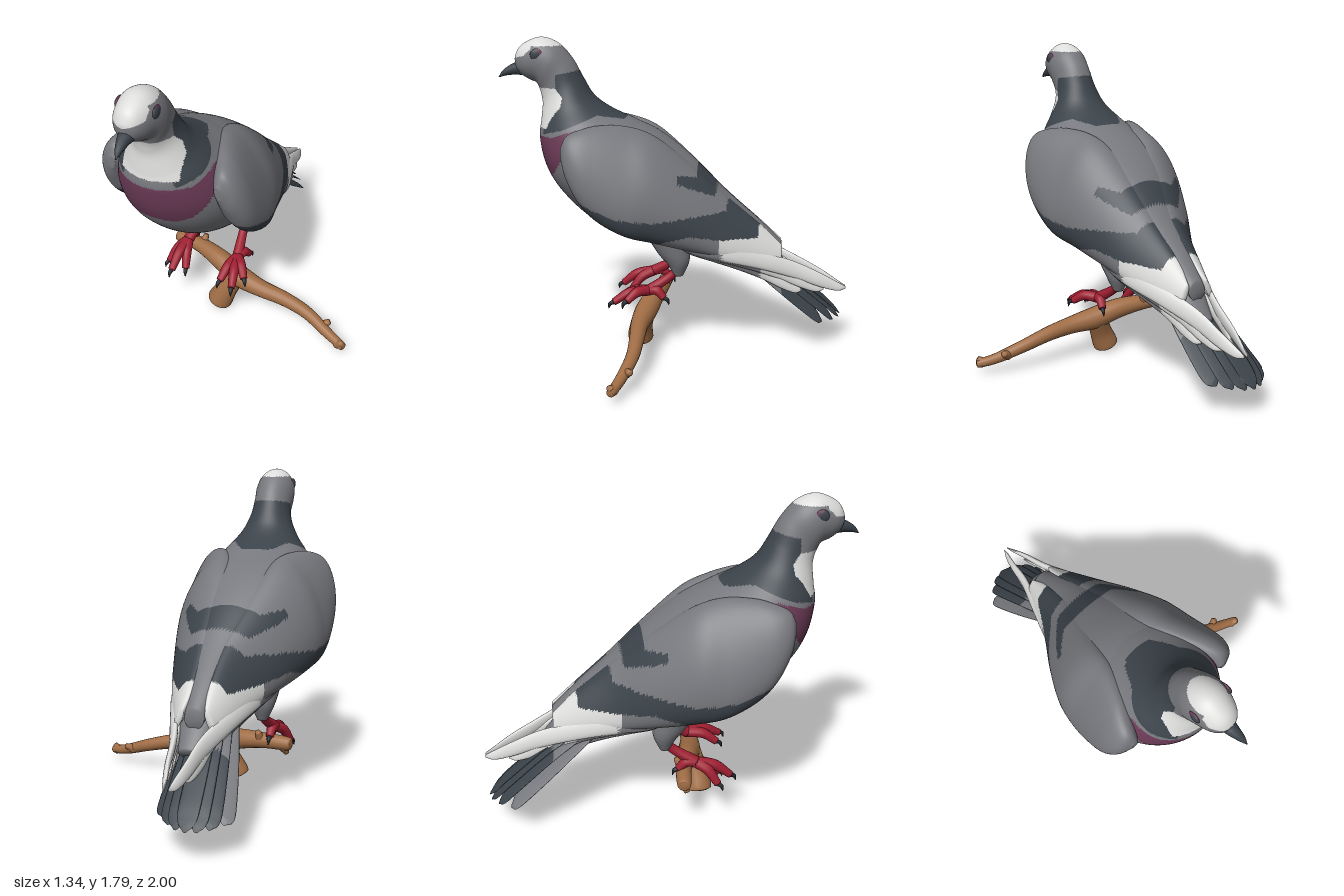
import * as THREE from 'three';

const V = (x, y, z) => new THREE.Vector3(x, y, z);
const mat = (name, color) => {
  const m = new THREE.MeshStandardMaterial({ color });
  m.name = name;
  return m;
};
const grey = mat('grey plumage', 0x77787d);
const slate = mat('slate plumage', 0x3b434a);
const white = mat('white plumage', 0xdcdcdb);
const plum = mat('plum breast', 0x6a3a56);
const red = mat('red skin', 0xa01f32);
const bark = mat('bark', 0xa06d45);
const black = mat('black', 0x22262b);
const MATS = [grey, slate, white, plum];
const GREY = 0, SLATE = 1, WHITE = 2, PLUM = 3;
const CX = -0.235; // the bird's middle plane
// the rear of the bird leans to its left
const middle = z => CX + .05 * THREE.MathUtils.smoothstep(-z, -.1, .35);

// Smooth closed skin over elliptical sections [centre, semi-axis, semi-axis]
function loft(sections, n = 40, m = 24) {
  const curves = [0, 1, 2].map(k =>
    new THREE.CatmullRomCurve3(sections.map(s => s[k]), false, 'catmullrom', 0.5));
  const pos = [], idx = [];
  for (let i = 0; i <= n; i++) {
    const [c, u, v] = curves.map(q => q.getPoint(i / n));
    for (let j = 0; j < m; j++) {
      const a = j / m * Math.PI * 2;
      const p = c.clone().addScaledVector(u, Math.cos(a)).addScaledVector(v, Math.sin(a));
      pos.push(p.x, p.y, p.z);
    }
  }
  for (let i = 0; i < n; i++) for (let j = 0; j < m; j++) {
    const a = i * m + j, b = i * m + (j + 1) % m;
    idx.push(a, b, a + m, b, b + m, a + m);
  }
  const first = (n + 1) * m, end = n * m;
  pos.push(...sections[0][0].toArray(), ...sections.at(-1)[0].toArray());
  for (let j = 0; j < m; j++) {
    const k = (j + 1) % m;
    idx.push(first, k, j, first + 1, end + j, end + k);
  }
  // turn the faces outward whichever way the sections run
  let volume = 0;
  const at = i => V(pos[3 * i], pos[3 * i + 1], pos[3 * i + 2]);
  for (let t = 0; t < idx.length; t += 3) volume += at(idx[t]).dot(at(idx[t + 1]).cross(at(idx[t + 2])));
  if (volume < 0) idx.reverse();
  const g = new THREE.BufferGeometry();
  g.setAttribute('position', new THREE.Float32BufferAttribute(pos, 3));
  g.setIndex(idx);
  g.computeVertexNormals();
  return g;
}

// Round tapering limb through points with a radius at each
function limb(points, radii, n = 24, m = 12) {
  const p = points.map(q => V(...q));
  const dir = p.at(-1).clone().sub(p[0]).normalize();
  const ref = Math.abs(dir.y) > 0.7 ? V(1, 0, 0) : V(0, 1, 0);
  return loft(p.map((c, i) => {
    const t = p[Math.min(i + 1, p.length - 1)].clone().sub(p[Math.max(i - 1, 0)]).normalize();
    const u = ref.clone().cross(t).normalize();
    return [c, u.clone().multiplyScalar(radii[i]), t.cross(u).multiplyScalar(radii[i])];
  }), n, m);
}

// Sort triangles into colour groups by the position of their middle
function paint(g, pick) {
  const P = g.attributes.position, I = g.index.array, lists = MATS.map(() => []);
  for (let t = 0; t < I.length; t += 3) {
    const c = V(0, 0, 0);
    for (let k = 0; k < 3; k++) c.add(V(P.getX(I[t + k]), P.getY(I[t + k]), P.getZ(I[t + k])));
    c.divideScalar(3);
    lists[pick(c)].push(I[t], I[t + 1], I[t + 2]);
  }
  g.setIndex(lists.flat());
  let start = 0;
  lists.forEach((l, k) => { if (l.length) g.addGroup(start, l.length, k); start += l.length; });
  return g;
}

// Is the point inside a side-on outline of [z, y] corners?
function inside(poly, c) {
  let hit = false;
  poly.forEach(([z1, y1], i) => {
    const [z2, y2] = poly[(i + 1) % poly.length];
    if ((y1 > c.y) !== (y2 > c.y) && c.z < (z2 - z1) * (c.y - y1) / (y2 - y1) + z1) hit = !hit;
  });
  return hit;
}

const COLLAR = [[.72, 1.575], [.45, 1.62], [.2, 1.45], [.28, 1.34], [.42, 1.37], [.6, 1.3], [.73, 1.26], [.73, 1.5], [.66, 1.52]];
const BREAST = [[.85, 1.24], [.68, 1.25], [.5, 1.31], [.6, 1.15], [.67, 1.04], [.7, 1.015], [.85, 1.015]];
const THROAT = [[.85, 1.51], [.66, 1.51], [.62, 1.46], [.635, 1.36], [.7, 1.29], [.85, 1.29]];
const BACK_BAR = [[-.03, 1.06], [-.03, 1.02], [-.12, .98], [-.24, .93], [-.25, 1.02], [-.15, 1.15], [-.13, 1.04]];
const WING_BAR = [[.52, .94], [.3, .85], [.1, .82], [-.1, .84], [-.3, .85], [-.32, .95], [-.5, .82],
  [-.48, .69], [-.28, .70], [-.1, .735], [.05, .70], [.1, .6], [.52, .7]];

function bodyColour(c) {
  const dx = Math.abs(c.x - CX);
  if ((c.z > .8 && c.y > 1.66 + dx * .3 && dx < .085) || (c.z > .58 && c.y > 1.74)) return WHITE;
  if (inside(THROAT, c) && dx < .16) return WHITE;
  if (inside(BREAST, c)) return PLUM;
  if (inside(COLLAR, c) && (c.z < .66 || dx > .13)) return SLATE;
  return inside(BACK_BAR, c) ? SLATE : GREY;
}

function wingColour(c) {
  if (inside(WING_BAR, c) || inside(BACK_BAR, c)) return SLATE;
  return c.z < -.48 || (c.z < -.26 && c.y < .71 && c.y > .6) ? WHITE : GREY;
}

export function createModel() {
  const model = new THREE.Group();
  const add = (name, geometry, material) => {
    const mesh = new THREE.Mesh(geometry, material);
    mesh.name = name;
    model.add(mesh);
    return mesh;
  };

  // Head, neck and body: back z, y, front z, y, half width
  const body = [
    [.905, 1.65, .905, 1.63, .01], [.90, 1.69, .88, 1.585, .05], [.86, 1.745, .83, 1.55, .085],
    [.76, 1.785, .785, 1.53, .108], [.66, 1.755, .77, 1.50, .115], [.58, 1.67, .76, 1.46, .111],
    [.52, 1.56, .755, 1.41, .125], [.46, 1.46, .765, 1.32, .172], [.36, 1.385, .775, 1.22, .24],
    [.2, 1.31, .74, 1.06, .31], [.05, 1.22, .65, .91, .34], [-.1, 1.10, .48, .75, .33],
    [-.25, .95, .25, .64, .28], [-.38, .82, 0, .60, .22], [-.5, .70, -.25, .53, .15],
    [-.6, .57, -.5, .47, .1], [-.7, .45, -.66, .4, .06],
  ].map(([za, ya, zb, yb, w]) => {
    const z = (za + zb) / 2;
    return [V(middle(z), (ya + yb) / 2, z), V(0, (ya - yb) / 2, (za - zb) / 2), V(w, 0, 0)];
  });
  add('body', paint(loft(body, 200, 130), bodyColour), MATS);

  // Mantle filling the back between the wings: z, top y, half width, half height
  const mantle = [[.42, 1.36, .15, .09], [.3, 1.345, .22, .12], [.1, 1.262, .24, .13], [-.1, 1.115, .18, .11],
    [-.3, .925, .12, .09], [-.5, .75, .08, .07], [-.62, .635, .05, .05]]
    .map(([z, top, w, h]) => [V(middle(z), top - h, z), V(w, 0, 0), V(0, h, 0)]);
  add('mantle', paint(loft(mantle, 70, 44), bodyColour), MATS);

  // Beak and eyes
  add('beak', limb([[-.23, 1.612, .85], [-.228, 1.605, .91], [-.22, 1.585, .965], [-.215, 1.56, 1]],
    [.045, .033, .018, .002]), slate);
  for (const s of [1, -1]) {
    const rim = add('eyeRim', new THREE.SphereGeometry(.034, 24, 16), plum);
    rim.position.set(CX + s * .098, 1.695, .763);
    rim.scale.x = .3;
    const eye = add('eye', new THREE.SphereGeometry(.03, 24, 16), slate);
    eye.position.set(CX + s * .1, 1.695, .769);
    eye.scale.x = .38;
  }

  // Wing rows: z, inner top offset, y, outer bottom offset, y, half thickness
  const wing = [
    [.605, .30, 1.22, .31, 1.15, .02], [.57, .30, 1.28, .35, 1.05, .06], [.50, .27, 1.31, .37, .92, .10],
    [.40, .22, 1.325, .38, .82, .12], [.25, .16, 1.31, .38, .74, .13], [.1, .13, 1.25, .33, .69, .15],
    [-.1, .08, 1.09, .27, .635, .13], [-.3, .055, .91, .215, .59, .075], [-.5, .045, .74, .14, .545, .045],
    [-.62, .06, .63, .10, .53, .015],
  ];
  const quill = [
    [0, .23, .72, .24, .67, .008], [-.12, .235, .70, .25, .61, .02], [-.3, .20, .68, .225, .57, .023],
    [-.5, .135, .61, .16, .51, .022], [-.7, .07, .53, .09, .435, .019], [-.85, .045, .455, .06, .375, .015],
    [-.95, .02, .395, .035, .345, .01], [-1, .012, .365, .012, .35, .003],
  ];
  const blade = (rows, s) => rows.map(([z, xa, ya, xb, yb, t]) => {
    const u = V(s * (xa - xb) / 2, (ya - yb) / 2, 0);
    const v = V(u.y, -u.x, 0).setLength(t);
    return [V(middle(z) + s * (xa + xb) / 2, (ya + yb) / 2, z), u, v];
  });
  for (const s of [1, -1]) {
    const side = s > 0 ? 'left' : 'right';
    add(side + 'Wing', paint(loft(blade(wing, s), 140, 76), wingColour), MATS);
    // layered flight feathers, each one shorter, lower and tucked against the last
    for (let k = 0; k < 3; k++) {
      const rows = quill.map(([z, xa, ya, xb, yb, t]) => {
        const dx = -.04 * k * z - .012 * k;
        return [z * (1 - .13 * k), xa + dx, ya, xb + dx, yb, t];
      });
      const pick = c => (c.z < (k ? -.5 : -.28) ? WHITE : GREY);
      add(side + 'FlightFeather', paint(loft(blade(rows, s), 50, 20), pick), MATS);
    }
  }

  // Arched tail fan
  for (let i = 0; i < 7; i++) {
    const f = i / 3 - 1;
    const root = V(-.225 + .1 * f, .57 - .04 * f * f, -.42);
    const tip = V(-.268 + .15 * f, .17 + .01 * f * f, -.978 + .12 * f * f);
    const rows = [[0, .035], [.4, .05], [.8, .055], [.95, .046], [1, .015]].map(([t, w]) => {
      const c = root.clone().lerp(tip, t);
      c.y += .17 * t * (1 - t) * (1 - f * f);
      return [c, V(w, -.45 * w * f, 0), V(0, .014, .01)];
    });
    const pick = c => (c.z < -.63 && i > 0 ? SLATE : GREY);
    add('tailFeather', paint(loft(rows, 30, 16), pick), MATS);
  }
  // soft feathers under the tail
  add('undertail', loft([[-.3, .56, .12, .04], [-.5, .49, .12, .035], [-.65, .385, .1, .03], [-.74, .325, .04, .01]]
    .map(([z, y, w, h]) => [V(-.225, y, z), V(w, 0, 0), V(0, h, h * .6)]), 24, 24), grey);

  // Legs: feathered thigh, red shank, gripping toes and claws
  const feet = [
    { s: 1, ankle: [-.07, .35, .14], toes: [[.03, .315, .26], [-.01, .295, .34], [-.1, .29, .31], [-.04, .315, .05]] },
    { s: -1, ankle: [-.40, .355, .14], toes: [[-.47, .25, .25], [-.41, .265, .33], [-.35, .25, .27], [-.4, .32, .04]] },
  ];
  for (const { s, ankle, toes } of feet) {
    const x = CX + s * .14;
    add('thigh', limb([[x - s * .03, .72, .04], [x - s * .01, .6, 0], [x, .52, -.03], [x, .44, -.03]],
      [.13, .095, .065, .028], 24, 24), grey);
    add('shank', limb([[x, .49, -.04], [x, .43, .02], ankle], [.028, .026, .033]), red);
    for (const end of toes) {
      const a = V(...ankle), e = V(...end), out = e.clone().sub(a).setY(0).normalize();
      const knuckle = a.clone().lerp(e, .55).add(V(0, .025, 0));
      const claw = e.clone().addScaledVector(out, .022).add(V(0, -.01, 0));
      const point = e.clone().addScaledVector(out, .03).add(V(0, -.038, 0));
      add('toe', limb([a, knuckle, e].map(p => p.toArray()), [.032, .029, .021]), red);
      add('claw', limb([e, claw, point].map(p => p.toArray()), [.015, .011, .002], 12, 8), black);
    }
  }

  // Perch: branch, broken stub and knots
  add('branch', limb([[-.52, .285, .055], [-.5, .285, .06], [-.35, .285, .08], [-.2, .265, .12], [-.05, .22, .16],
    [.1, .2, .18], [.25, .18, .18], [.4, .14, .19], [.55, .085, .235], [.65, .062, .27], [.665, .062, .275]],
    [.015, .038, .045, .058, .064, .05, .042, .036, .03, .024, .012], 80, 18), bark);
  add('branchStub', limb([[-.07, .23, .16], [-.12, .12, .19], [-.16, .03, .2], [-.162, .022, .2]],
    [.06, .065, .075, .06], 24, 18), bark);
  const knots = [[[-.34, .29, .07], [-.33, .345, .04]], [[.5, .1, .21], [.54, .125, .18]],
    [[-.47, .27, .06], [-.49, .225, .08]], [[.62, .06, .26], [.655, .09, .28]]];
  for (const [a, b] of knots) add('knot', limb([a, b], [.03, .015], 8, 12), bark);

  return model;
}
